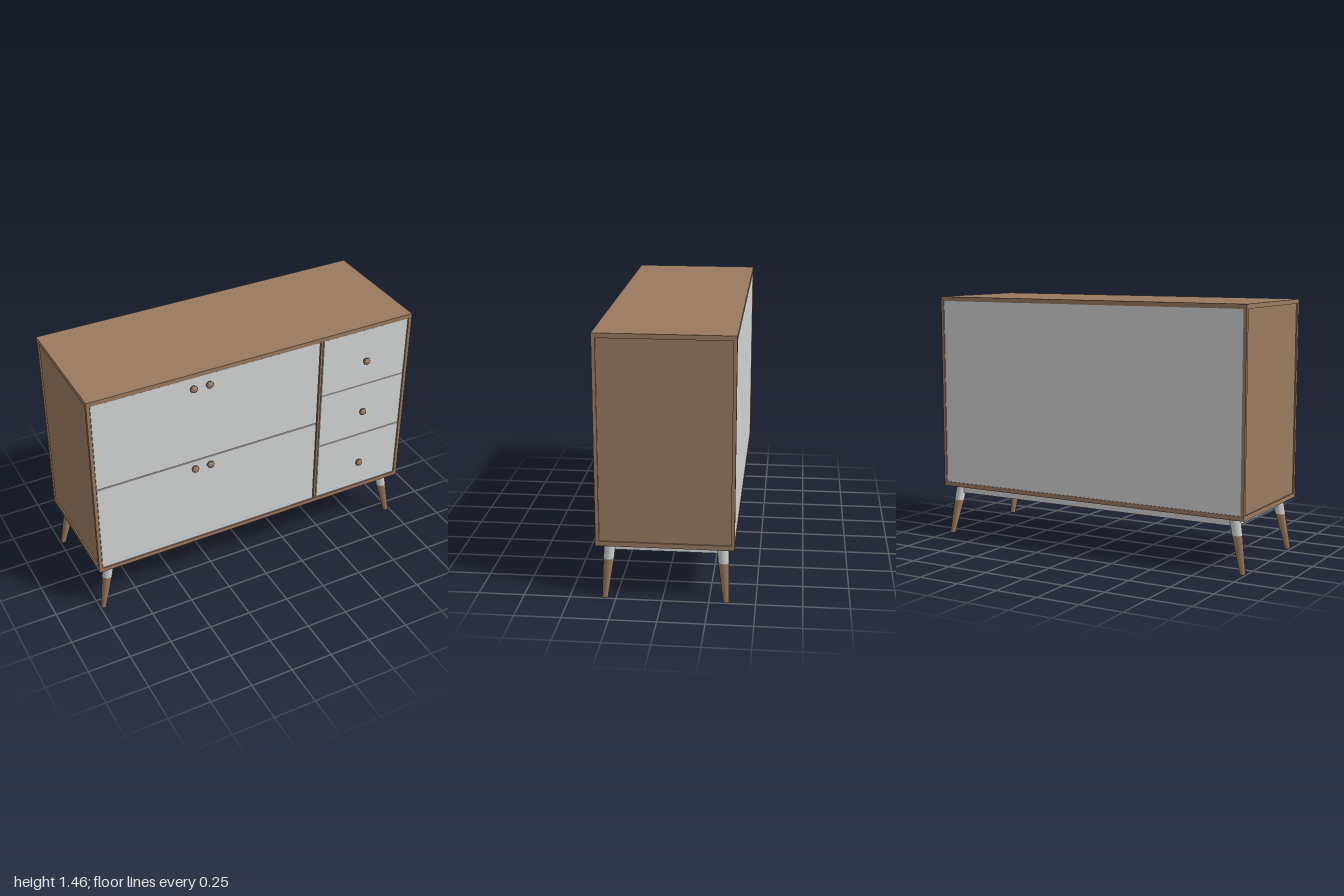
import * as THREE from 'three';

const wood = new THREE.MeshStandardMaterial({ color: 0x9a7a60 });
wood.name = 'brown wood';
const darkWood = new THREE.MeshStandardMaterial({ color: 0x594536 });
darkWood.name = 'dark brown wood';
const paint = new THREE.MeshStandardMaterial({ color: 0xd3d5d4 });
paint.name = 'pale grey paint';

export function createModel() {
  const root = new THREE.Group();
  root.name = 'sideboard';
  const add = (name, geometry, material, parent = root) => {
    const mesh = new THREE.Mesh(geometry, material);
    mesh.name = name;
    parent.add(mesh);
    return mesh;
  };
  // box given by its lower and upper limits on each axis
  const box = (name, material, [x0, x1], [y0, y1], [z0, z1]) => {
    const mesh = add(name, new THREE.BoxGeometry(x1 - x0, y1 - y0, z1 - z0), material);
    mesh.position.set((x0 + x1) / 2, (y0 + y1) / 2, (z0 + z1) / 2);
    return mesh;
  };

  const front = 0.355, back = -0.385, mid = (front + back) / 2;
  const low = 0.303, high = 1.46, t = 0.026, e = 0.02;

  // carcass: top, bottom with a dark underside, framed sides with recessed panels
  box('top', wood, [-1, 1], [high - t, high], [back, front]);
  box('bottom', [wood, wood, wood, darkWood, wood, wood], [-1, 1], [low, low + t], [back, front]);
  for (const s of [-1, 1]) {
    const span = (a, b) => (s > 0 ? [a, b] : [-b, -a]);
    const side = s > 0 ? 'left' : 'right';
    box(side + 'FrontPost', wood, span(1 - e, 1), [low + t, high - t], [front - e, front]);
    box(side + 'BackPost', wood, span(1 - e, 1), [low + t, high - t], [back, back + e]);
    box(side + 'SidePanel', wood, span(0.976, 0.992), [low + t, high - t], [back + e, front - e]);
  }
  box('divider', wood, [0.401, 0.415], [low + t, high - t], [back + e, front - 0.004]);
  box('backPanel', paint, [-0.98, 0.98], [low + t, high - t], [back + 0.004, back + 0.016]);

  // doors and drawer fronts, split by narrow gaps over a dark lining
  const face = [front - 0.025, front - 0.004];
  box('lining', darkWood, [-0.976, 0.976], [low + t, high - t], [front - 0.03, front - 0.018]);
  box('upperDoor', paint, [-0.977, 0.394], [0.888, 1.431], face);
  box('lowerDoor', paint, [-0.977, 0.394], [0.332, 0.882], face);
  box('upperDrawer', paint, [0.421, 0.976], [1.065, 1.431], face);
  box('middleDrawer', paint, [0.421, 0.976], [0.711, 1.062], face);
  box('lowerDrawer', paint, [0.421, 0.976], [0.332, 0.706], face);

  // knobs: faceted, flattened balls on thin stems
  const knobGeometry = new THREE.SphereGeometry(0.023, 8, 6).rotateX(Math.PI / 2)
    .scale(1, 1, 0.65).toNonIndexed();
  knobGeometry.computeVertexNormals();
  const stemGeometry = new THREE.CylinderGeometry(0.007, 0.007, 0.02, 8).rotateX(Math.PI / 2);
  const knobs = [[-0.397, 1.376], [-0.302, 1.376], [-0.397, 0.843], [-0.302, 0.843], [0.7, 1.235], [0.7, 0.884], [0.7, 0.511]];
  for (const [x, y] of knobs) {
    add('knob', knobGeometry, wood).position.set(x, y, front + 0.018);
    add('knobStem', stemGeometry, wood).position.set(x, y, front + 0.004);
  }

  // splayed legs: slanted cones with level ends
  const slant = (y0, y1, r0, r1, c0, c1) => {
    const g = new THREE.CylinderGeometry(r1, r0, y1 - y0, 20).translate(0, (y0 + y1) / 2, 0);
    const p = g.attributes.position;
    for (let i = 0; i < p.count; i++) {
      const k = (p.getY(i) - y0) / (y1 - y0);
      p.setX(i, p.getX(i) + c0[0] + (c1[0] - c0[0]) * k);
      p.setZ(i, p.getZ(i) + c0[1] + (c1[1] - c0[1]) * k);
    }
    return g;
  };
  for (const sx of [-1, 1]) for (const sz of [-1, 1]) {
    const at = (x, z) => [sx * x, mid + sz * z];
    const leg = new THREE.Group();
    leg.name = 'leg';
    root.add(leg);
    add('legFoot', slant(0, 0.21, 0.016, 0.029, at(0.979, 0.326), at(0.936, 0.309)), wood, leg);
    add('legSleeve', slant(0.21, 0.305, 0.029, 0.031, at(0.936, 0.309), at(0.918, 0.302)), paint, leg);
  }

  // rails joining the legs under the carcass
  const rail = 0.013, railY = [0.257, low];
  for (const s of [-1, 1]) {
    const z = mid + s * 0.302, x = s * 0.918;
    box(s > 0 ? 'frontRail' : 'backRail', paint, [-0.918, 0.918], railY, [z - rail, z + rail]);
    box(s > 0 ? 'leftRail' : 'rightRail', paint, [x - rail, x + rail], railY, [mid - 0.302, mid + 0.302]);
  }
  return root;
}
